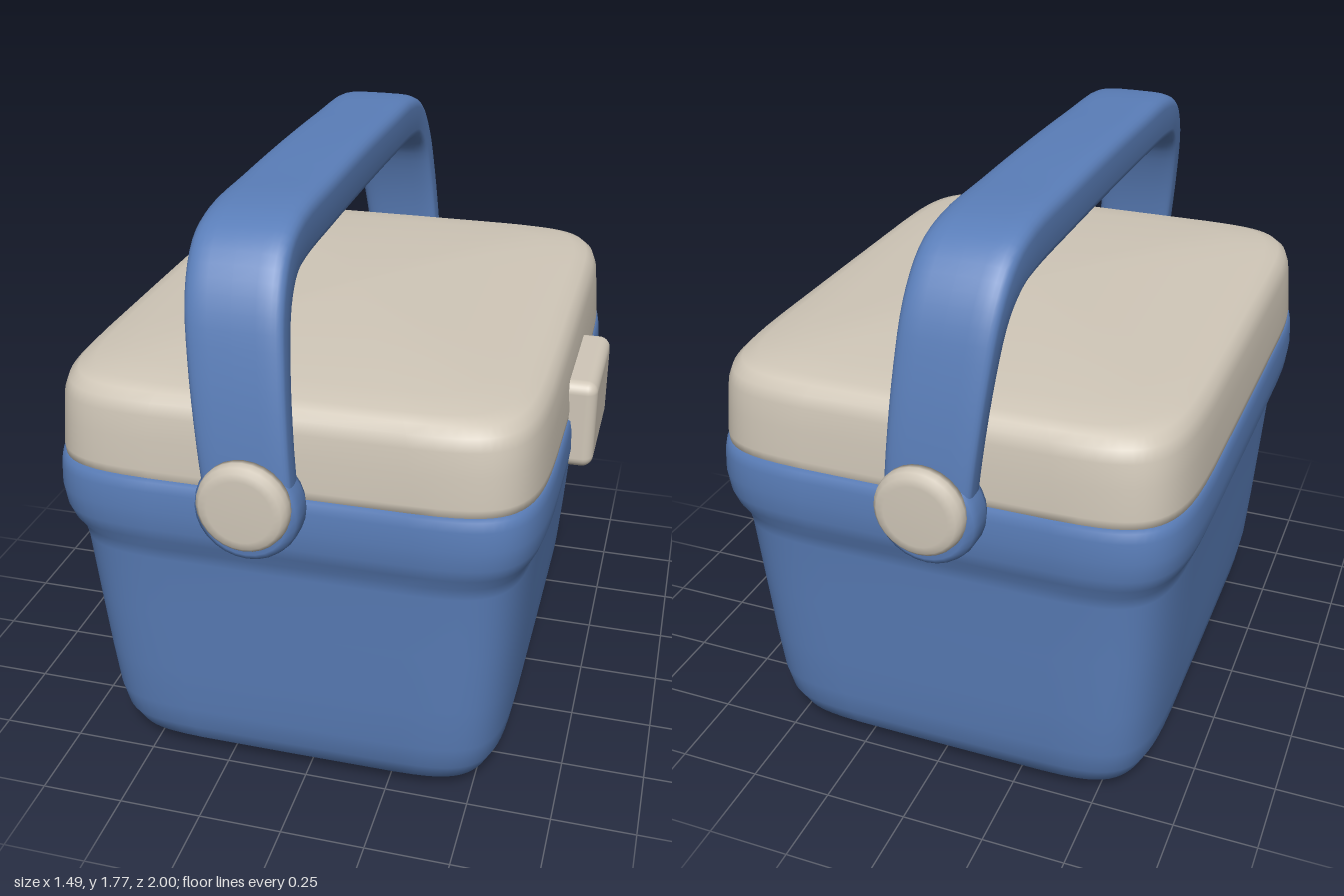
import * as THREE from 'three';
import { RoundedBoxGeometry } from 'three/addons/geometries/RoundedBoxGeometry.js';

const CX = -0.033;          // the box sits slightly off centre because of the latch
const PIVOT_X = -0.08;

// Rounded rectangle (superellipse) in two axes around a centre
function ring(centre, u, v, hu, hv, power, count) {
  const pts = [];
  const f = (s) => Math.sign(s) * Math.pow(Math.abs(s), 2 / power);
  for (let j = 0; j < count; j++) {
    const a = (j / count) * Math.PI * 2;
    pts.push(centre.clone()
      .addScaledVector(u, hu * f(Math.cos(a)))
      .addScaledVector(v, hv * f(Math.sin(a))));
  }
  return pts;
}

// Skin a stack of rings with smooth normals
function loft(rings) {
  const n = rings[0].length;
  const index = [];
  for (let i = 0; i < rings.length - 1; i++) {
    for (let j = 0; j < n; j++) {
      const a = i * n + j, b = i * n + ((j + 1) % n);
      index.push(a, a + n, b, b, a + n, b + n);
    }
  }
  const g = new THREE.BufferGeometry().setFromPoints(rings.flat());
  g.setIndex(index);
  g.computeVertexNormals();
  return g;
}

const X = new THREE.Vector3(1, 0, 0);
const Z = new THREE.Vector3(0, 0, 1);

// Box-like shell from [y, half width, half depth] rows
const shell = (rows) => loft(rows.map(([y, hx, hz]) =>
  ring(new THREE.Vector3(CX, y, 0), X, Z, hx, hz, 7.5, 72)));

// Carrying handle: curve points hold (half thickness, y, z)
function handleGeometry() {
  const half = [
    [0.05, 1.0, 0.905], [0.045, 1.2, 0.897], [0.046, 1.42, 0.862], [0.055, 1.57, 0.81],
    [0.072, 1.655, 0.725], [0.08, 1.682, 0.62], [0.081, 1.69, 0.35],
  ];
  const pts = half.map((p) => new THREE.Vector3(...p));
  const back = half.map(([t, y, z]) => new THREE.Vector3(t, y, -z)).reverse();
  const curve = new THREE.CatmullRomCurve3([...pts, new THREE.Vector3(0.082, 1.693, 0), ...back]);
  const steps = 56;
  const rings = [];
  for (let i = 0; i <= steps; i++) {
    const p = curve.getPoint(i / steps);
    const d = curve.getTangent(i / steps).setX(0).normalize();
    const lean = p.y - 1.05;
    const centre = new THREE.Vector3(PIVOT_X - 0.09 * lean, p.y, p.z);
    const across = new THREE.Vector3(0, -d.z, d.y);
    rings.push(ring(centre, X, across, 0.124 + 0.022 * lean, p.x, 4.5, 32));
  }
  return loft(rings);
}

export function createModel() {
  const model = new THREE.Group();
  const blue = new THREE.MeshStandardMaterial({ color: 0x5a7eb9 });
  blue.name = 'blue plastic';
  const cream = new THREE.MeshStandardMaterial({ color: 0xd0c7b8 });
  cream.name = 'cream plastic';

  const add = (name, geometry, material) => {
    const mesh = new THREE.Mesh(geometry, material);
    mesh.name = name;
    model.add(mesh);
    return mesh;
  };

  // Tapered tub with a flared rim
  add('body', shell([
    [0, 0, 0], [0, 0.44, 0.6], [0.004, 0.49, 0.645], [0.022, 0.54, 0.692], [0.06, 0.583, 0.735],
    [0.12, 0.61, 0.763], [0.2, 0.624, 0.779], [0.35, 0.636, 0.793], [0.55, 0.65, 0.808],
    [0.76, 0.664, 0.824], [0.8, 0.671, 0.832], [0.84, 0.692, 0.852], [0.88, 0.705, 0.863],
    [0.94, 0.712, 0.868], [1.0, 0.709, 0.866], [1.028, 0.704, 0.861], [1.036, 0.695, 0.852],
    [1.036, 0.64, 0.8], [1.036, 0, 0],
  ]), blue);

  // Gently crowned lid
  add('lid', shell([
    [1.025, 0, 0], [1.025, 0.68, 0.835], [1.03, 0.697, 0.851], [1.06, 0.699, 0.853],
    [1.15, 0.692, 0.847], [1.22, 0.685, 0.841], [1.255, 0.673, 0.831], [1.278, 0.65, 0.81],
    [1.291, 0.61, 0.775], [1.303, 0.52, 0.68], [1.316, 0.36, 0.48], [1.325, 0.18, 0.24],
    [1.328, 0, 0],
  ]), cream);

  // Front latch on the left side of the lid
  add('latch', new RoundedBoxGeometry(0.13, 0.28, 0.4, 4, 0.035), cream)
    .position.set(0.678, 1.01, 0);

  add('handle', handleGeometry(), blue);

  // Hinge hubs and cream pivot caps at both ends of the handle
  const lathe = (profile) => new THREE.LatheGeometry(
    profile.map(([r, y]) => new THREE.Vector2(r, y)), 28);
  const hub = lathe([[0, 0.84], [0.115, 0.84], [0.138, 0.855], [0.147, 0.88],
    [0.147, 0.925], [0.14, 0.948], [0.12, 0.962], [0, 0.962]]);
  const cap = lathe([[0, 0.945], [0.126, 0.945], [0.128, 0.965], [0.124, 0.985],
    [0.112, 0.996], [0.09, 1], [0, 1]]);
  for (const [side, s] of [['front', 1], ['back', -1]]) {
    const h = add(side + 'HingeHub', hub, blue);
    h.position.set(PIVOT_X - 0.003, 1.03, 0);
    const c = add(side + 'PivotCap', cap, cream);
    c.position.set(PIVOT_X, 1.06, 0);
    h.rotation.x = c.rotation.x = s * Math.PI / 2;
  }
  return model;
}
